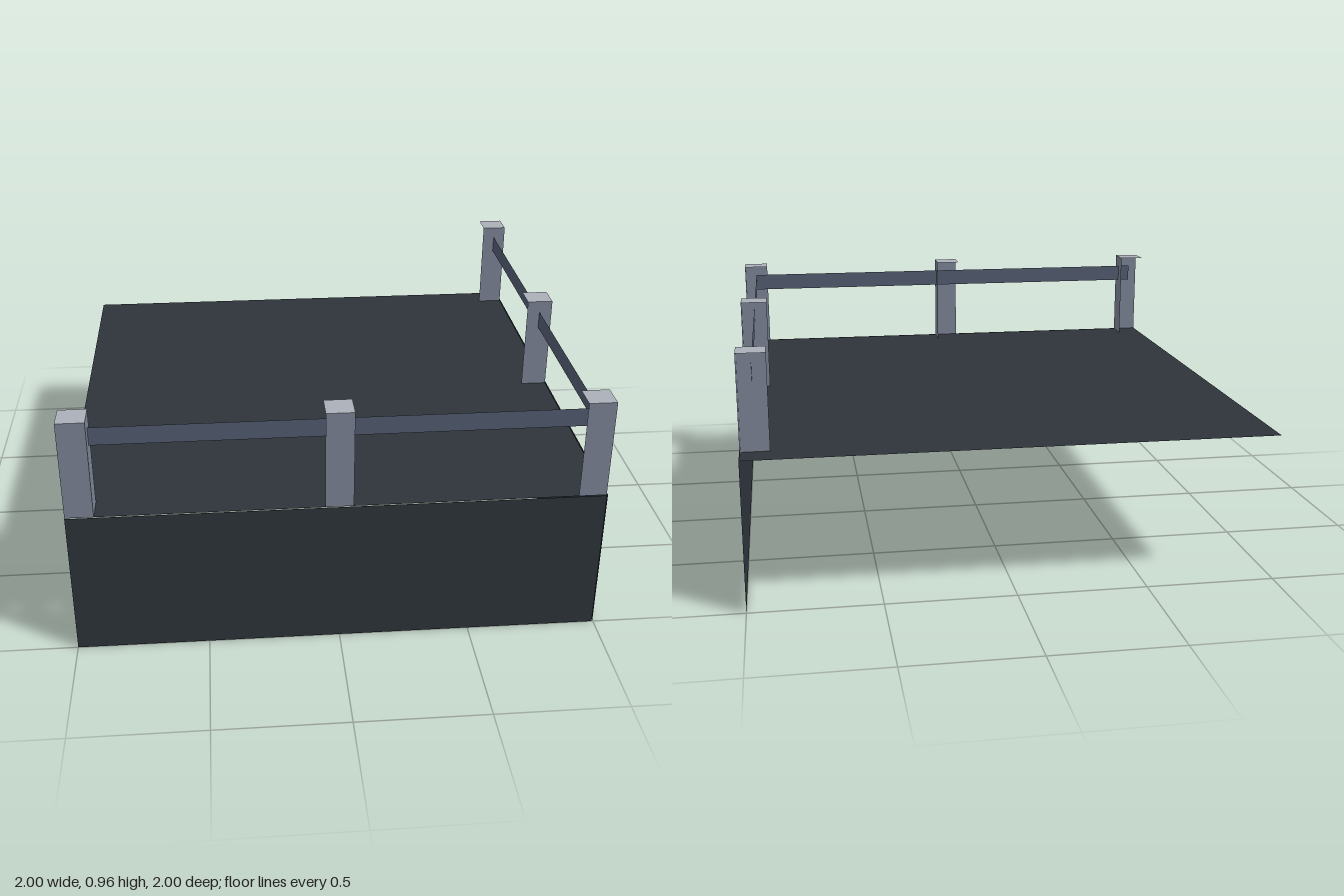
import * as THREE from 'three';

const mat = (name, color) => {
  const m = new THREE.MeshStandardMaterial({ color, side: THREE.DoubleSide });
  m.name = name;
  return m;
};

export function createModel() {
  const root = new THREE.Group();
  root.name = 'railedPlatform';
  const dark = mat('darkSlate', 0x2d343a);
  const steel = mat('steelGrey', 0x7c8495);
  const pale = mat('paleCap', 0xabafb9);
  const railBlue = mat('railBlueGrey', 0x525b6f);

  // Flat panel; facing is 'x', 'y' or 'z' (towards the positive axis)
  function sheet(parent, name, w, h, facing, x, y, z, material) {
    const g = new THREE.PlaneGeometry(w, h);
    if (facing === 'x') g.rotateY(Math.PI / 2);
    if (facing === 'y') g.rotateX(-Math.PI / 2);
    const m = new THREE.Mesh(g, material);
    m.name = name;
    m.position.set(x, y, z);
    parent.add(m);
  }

  const deckY = 0.577, top = 0.963, edge = 0.995;
  const span = 1 + edge, mid = (edge - 1) / 2;

  // Deck and the two skirts, open at the back and at the far side
  sheet(root, 'deck', span, span, 'y', mid, deckY, mid, dark);
  sheet(root, 'frontSkirt', span, deckY, 'z', mid, deckY / 2, 1, dark);
  sheet(root, 'sideSkirt', span, deckY, 'x', 1, deckY / 2, mid, dark);

  // Posts: two outer faces and a cap, open towards the deck
  const w = 0.105, h = top - deckY, r = w / 2;
  function post(x, z) {
    const p = new THREE.Group();
    p.name = 'post';
    sheet(p, 'postFront', w, h, 'z', 0, h / 2, r, steel);
    sheet(p, 'postSide', w, h, 'x', r, h / 2, 0, steel);
    sheet(p, 'postCap', w, w, 'y', 0, h, 0, pale);
    p.position.set(x, deckY, z);
    root.add(p);
  }
  const near = edge - r, far = -1 + r;
  for (const t of [far, mid, near]) post(t, near);
  for (const t of [far, mid]) post(near, t);

  // Thin rails running between the post centres
  const railY = 0.88, railH = 0.072, railL = near - far;
  sheet(root, 'frontRail', railL, railH, 'z', mid, railY, near, railBlue);
  sheet(root, 'sideRail', railL, railH, 'x', near, railY, mid, railBlue);
  return root;
}
